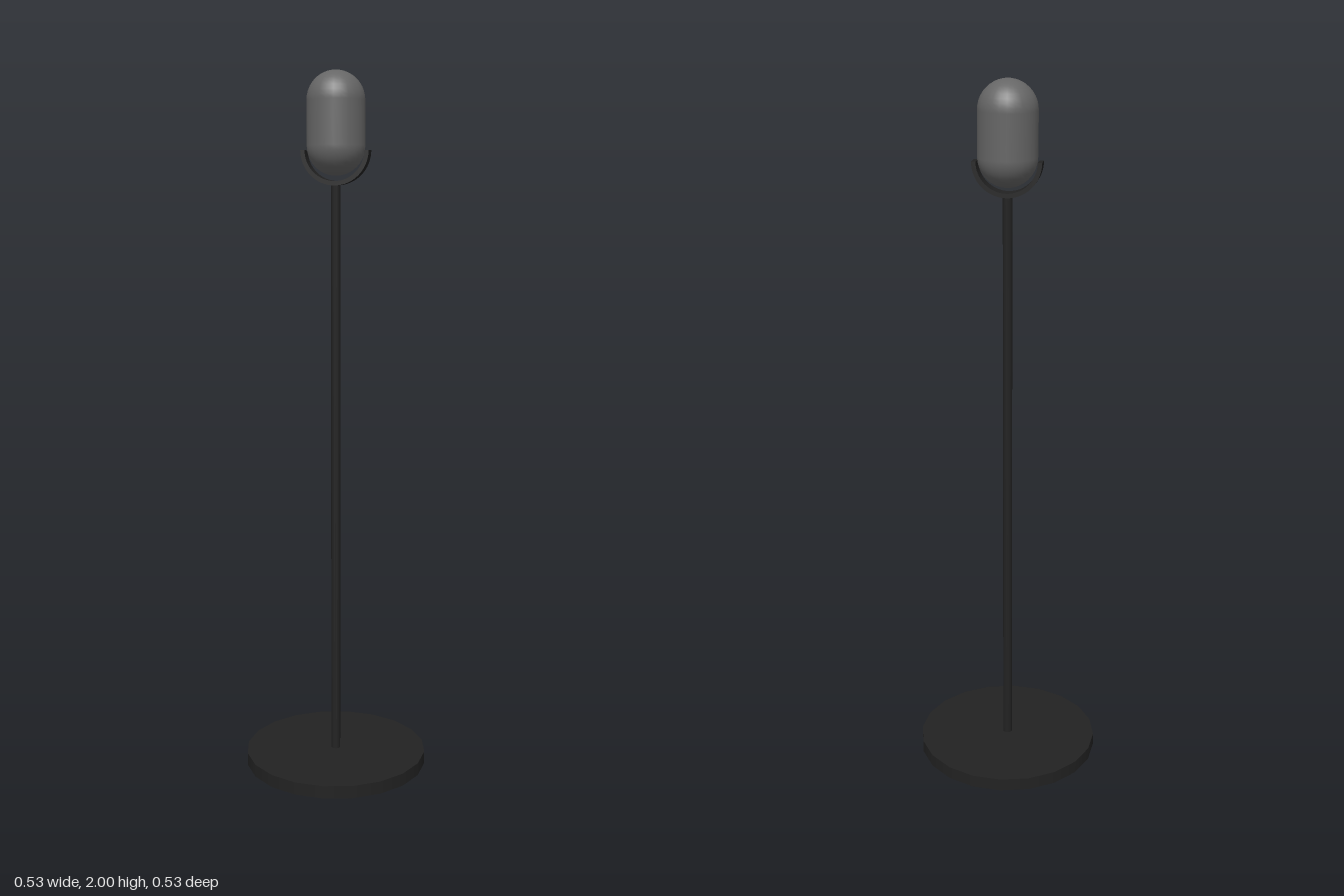
import * as THREE from 'three';

export function createModel() {
  const model = new THREE.Group();
  const black = new THREE.MeshStandardMaterial({ color: 0x222222 });
  const grey = new THREE.MeshStandardMaterial({ color: 0x666666 });

  const add = (name, geometry, material, x, y, z) => {
    const mesh = new THREE.Mesh(geometry, material);
    mesh.name = name;
    mesh.position.set(x, y, z);
    model.add(mesh);
    return mesh;
  };

  // Round floor plate and pole
  add('base', new THREE.CylinderGeometry(0.265, 0.265, 0.037, 20), black, 0, 0.0185, 0);
  add('pole', new THREE.CylinderGeometry(0.0135, 0.0135, 1.665, 12), black, 0, 0.865, 0);

  // Half-ring yoke, turned slightly about the pole
  const outer = 0.095, inner = 0.083, width = 0.045;
  const arc = new THREE.Shape();
  arc.absarc(0, 0, outer, Math.PI, Math.PI * 2, false);
  arc.absarc(0, 0, inner, Math.PI * 2, Math.PI, true);
  arc.closePath();
  const yokeGeometry = new THREE.ExtrudeGeometry(arc, { depth: width, bevelEnabled: false, curveSegments: 16 });
  yokeGeometry.translate(0, 0, -width / 2);
  const yoke = add('yoke', yokeGeometry, black, 0, 1.785, 0);
  yoke.rotation.y = -0.37;

  // Capsule-shaped microphone head, leaning back a little
  const head = add('microphoneHead', new THREE.CapsuleGeometry(0.081, 0.122, 10, 24), grey, 0.002, 1.858, -0.01);
  head.rotation.x = -0.025;

  return model;
}
